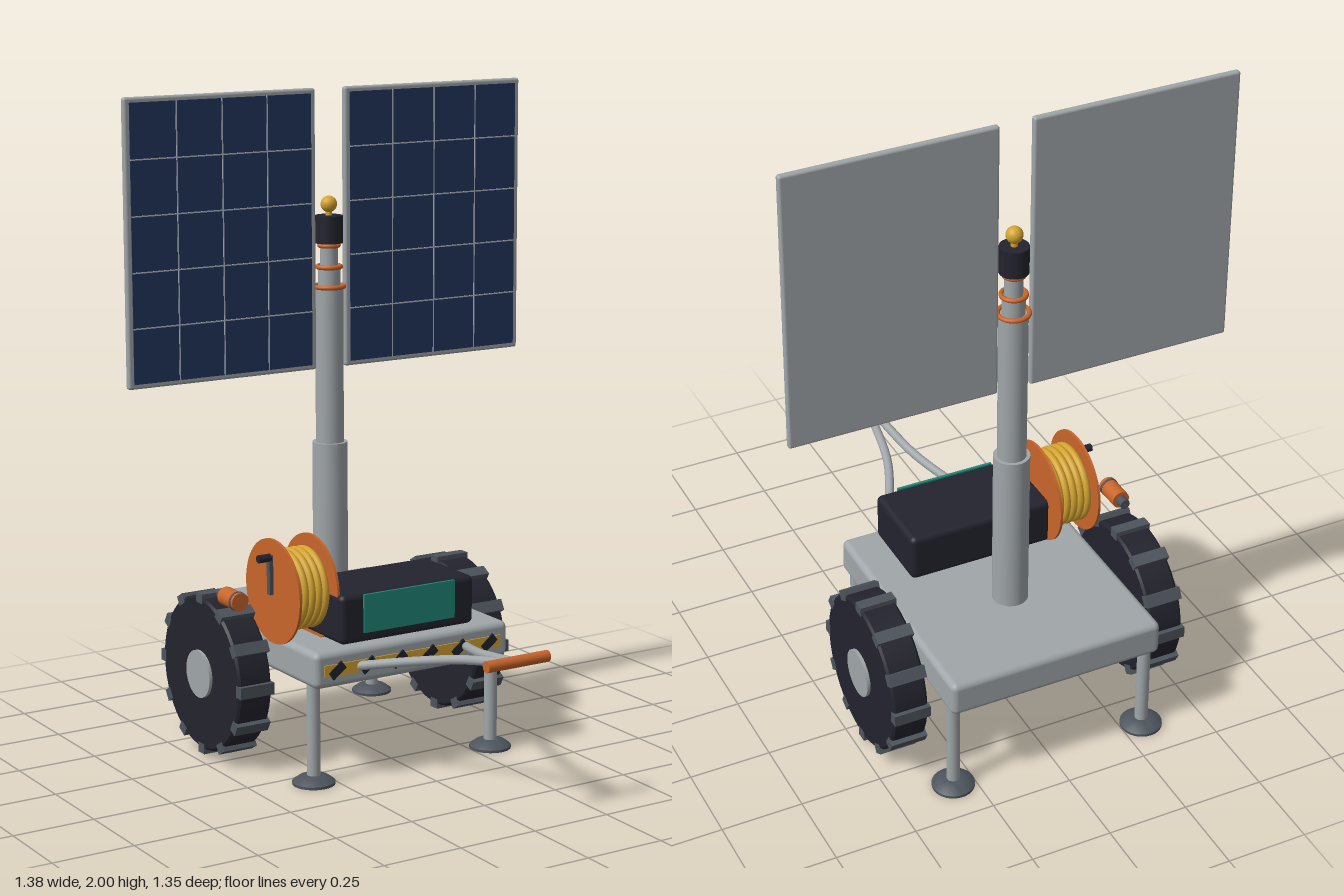
import * as THREE from 'three';
import { RoundedBoxGeometry } from 'three/addons/geometries/RoundedBoxGeometry.js';
import { toCreasedNormals } from 'three/addons/utils/BufferGeometryUtils.js';

const colour = (name, hex) => {
  const m = new THREE.MeshStandardMaterial({ color: hex });
  m.name = name;
  return m;
};

export function createModel() {
  const root = new THREE.Group();
  root.name = 'mobileSolarTrailer';
  const grey = colour('metalGrey', 0xa0a6a9);
  const black = colour('rubberBlack', 0x23232e);
  const steel = colour('darkSteel', 0x4d545c);
  const orange = colour('safetyOrange', 0xc9652b);
  const gold = colour('cableYellow', 0xd4a431);
  const blue = colour('solarBlue', 0x22365f);
  const teal = colour('screenTeal', 0x20877a);
  const pale = colour('cellLine', 0xb4bcc4);

  const add = (name, geo, mat, x = 0, y = 0, z = 0, parent = root) => {
    const mesh = new THREE.Mesh(geo, mat);
    mesh.name = name;
    mesh.position.set(x, y, z);
    parent.add(mesh);
    return mesh;
  };
  const group = (name, x = 0, y = 0, z = 0) => {
    const g = new THREE.Group();
    g.name = name;
    g.position.set(x, y, z);
    root.add(g);
    return g;
  };
  const box = (w, h, d) => new THREE.BoxGeometry(w, h, d);
  const rbox = (w, h, d, r) => new RoundedBoxGeometry(w, h, d, 3, r);
  const cyl = (rt, rb, h, n = 32) => new THREE.CylinderGeometry(rt, rb, h, n);
  const cylX = (r, h, n = 32) => cyl(r, r, h, n).rotateZ(Math.PI / 2);
  const cylZ = (r, h, n = 32) => cyl(r, r, h, n).rotateX(Math.PI / 2);

  // Deck
  add('deck', rbox(0.68, 0.11, 0.79, 0.02), grey, 0, 0.355, -0.27);

  // Hazard strip on the deck front
  add('hazardStrip', box(0.62, 0.036, 0.006), gold, 0, 0.354, 0.126);
  for (let i = 0; i < 6; i++) {
    const s = add('hazardStripe', box(0.054, 0.028, 0.008), black, (i - 2.5) * 0.107, 0.353, 0.127);
    s.rotation.z = 0.65;
  }

  // Stabiliser legs with flared feet
  const footProfile = [[0, 0], [0.064, 0], [0.064, 0.008], [0.045, 0.022], [0.025, 0.027], [0, 0.027]]
    .map(p => new THREE.Vector2(...p));
  const footGeo = toCreasedNormals(new THREE.LatheGeometry(footProfile, 32), 0.5);
  for (const x of [-0.315, 0.315]) {
    for (const z of [0.07, -0.614]) {
      add('leg', cyl(0.02, 0.02, 0.3, 20), grey, x, 0.17, z);
      add('foot', footGeo, steel, x, 0, z);
    }
  }

  // Wheels with hubs and tread lugs
  const tyreProfile = [[0, -0.055], [0.23, -0.055], [0.237, -0.048], [0.237, 0.048], [0.23, 0.055], [0, 0.055]]
    .map(p => new THREE.Vector2(...p));
  const tyreGeo = toCreasedNormals(new THREE.LatheGeometry(tyreProfile, 48).rotateZ(Math.PI / 2), 0.5);
  for (const side of [-1, 1]) {
    const wheel = group(side < 0 ? 'rightWheel' : 'leftWheel', side * 0.422, 0.263, -0.32);
    add('tyre', tyreGeo, black, 0, 0, 0, wheel);
    add('hub', cylX(0.073, 0.13), grey, 0, 0, 0, wheel);
    for (let i = 0; i < 12; i++) {
      const a = i * Math.PI / 6;
      const lug = add('lug', box(0.114, 0.03, 0.036), steel, 0, 0.235 * Math.cos(a), 0.235 * Math.sin(a), wheel);
      lug.rotation.x = a;
    }
  }

  // Telescopic mast, from r, y0, y1 of each stage
  const mast = group('mast', 0, 0, -0.35);
  for (const [r, y0, y1] of [[0.054, 0.4, 0.92], [0.043, 0.92, 1.4], [0.034, 1.4, 1.46], [0.027, 1.46, 1.54]]) {
    add('mastStage', cyl(r, r, y1 - y0), grey, 0, (y0 + y1) / 2, 0, mast);
  }
  for (const [r, y] of [[0.045, 1.4], [0.036, 1.46], [0.029, 1.525]]) {
    add('mastCollar', new THREE.TorusGeometry(r, 0.007, 10, 32).rotateX(Math.PI / 2), orange, 0, y, 0, mast);
  }
  add('sensorHead', cyl(0.043, 0.043, 0.083), black, 0, 1.574, 0, mast);
  add('beaconStem', cyl(0.01, 0.01, 0.02, 16), gold, 0, 1.622, 0, mast);
  add('beacon', new THREE.SphereGeometry(0.025, 24, 16), gold, 0, 1.65, 0, mast);

  // Solar panels: frame, cells and thin grid lines on the front
  const PW = 0.604, PH = 0.82;
  for (const side of [-1, 1]) {
    const panel = group(side < 0 ? 'rightSolarPanel' : 'leftSolarPanel', side * 0.37, 1.575, -0.35);
    add('panelFrame', rbox(0.638, 0.85, 0.022, 0.008), grey, 0, 0, 0, panel);
    add('solarCells', box(PW, PH, 0.004), blue, 0, 0, 0.011, panel);
    for (let i = 1; i < 4; i++) add('cellLine', box(0.004, PH, 0.002), pale, (i / 4 - 0.5) * PW, 0, 0.0135, panel);
    for (let i = 1; i < 5; i++) add('cellLine', box(PW, 0.004, 0.002), pale, 0, (i / 5 - 0.5) * PH, 0.0135, panel);
  }

  // Control box with a screen
  add('controlBox', rbox(0.468, 0.15, 0.262, 0.018), black, 0, 0.487, -0.034);
  add('screen', box(0.318, 0.116, 0.009), teal, 0, 0.501, 0.1);

  // Cable reel with crank
  const reel = group('cableReel', -0.291, 0.555, -0.087);
  for (const x of [-0.064, 0.064]) add('reelFlange', cylX(0.158, 0.008, 48), orange, x, 0, 0, reel);
  add('reelDrum', cylX(0.1, 0.126), gold, 0, 0, 0, reel);
  for (let i = 0; i < 5; i++) {
    const coil = new THREE.TorusGeometry(0.111, 0.0125, 12, 48).rotateY(Math.PI / 2);
    add('cableCoil', coil, gold, (i - 2) * 0.023, 0, 0, reel);
  }
  add('crankArm', box(0.012, 0.12, 0.018), steel, -0.076, 0.052, 0, reel);
  add('crankHandle', cylX(0.012, 0.04, 16), black, -0.096, 0.104, 0, reel);

  // Small canister above the right wheel
  const canister = group('canister', -0.449, 0.527, -0.165);
  add('canisterBody', cylZ(0.028, 0.09), orange, 0, 0, 0, canister);
  add('canisterBand', cylZ(0.0295, 0.008), steel, 0, 0, 0.03, canister);
  add('canisterCap', cylZ(0.016, 0.03, 20), steel, 0, 0, -0.057, canister);

  // Drawbar: two curved tubes meeting at a cross handle
  for (const side of [-1, 1]) {
    const path = new THREE.CatmullRomCurve3([
      [0.195, 0.35, 0.11], [0.107, 0.392, 0.278], [0.046, 0.425, 0.426], [0.008, 0.462, 0.64],
    ].map(([x, y, z]) => new THREE.Vector3(side * x, y, z)));
    add('drawbarTube', new THREE.TubeGeometry(path, 32, 0.014, 12), grey);
  }
  add('drawbarHandle', cylX(0.017, 0.21, 24), orange, 0, 0.47, 0.655);

  return root;
}
